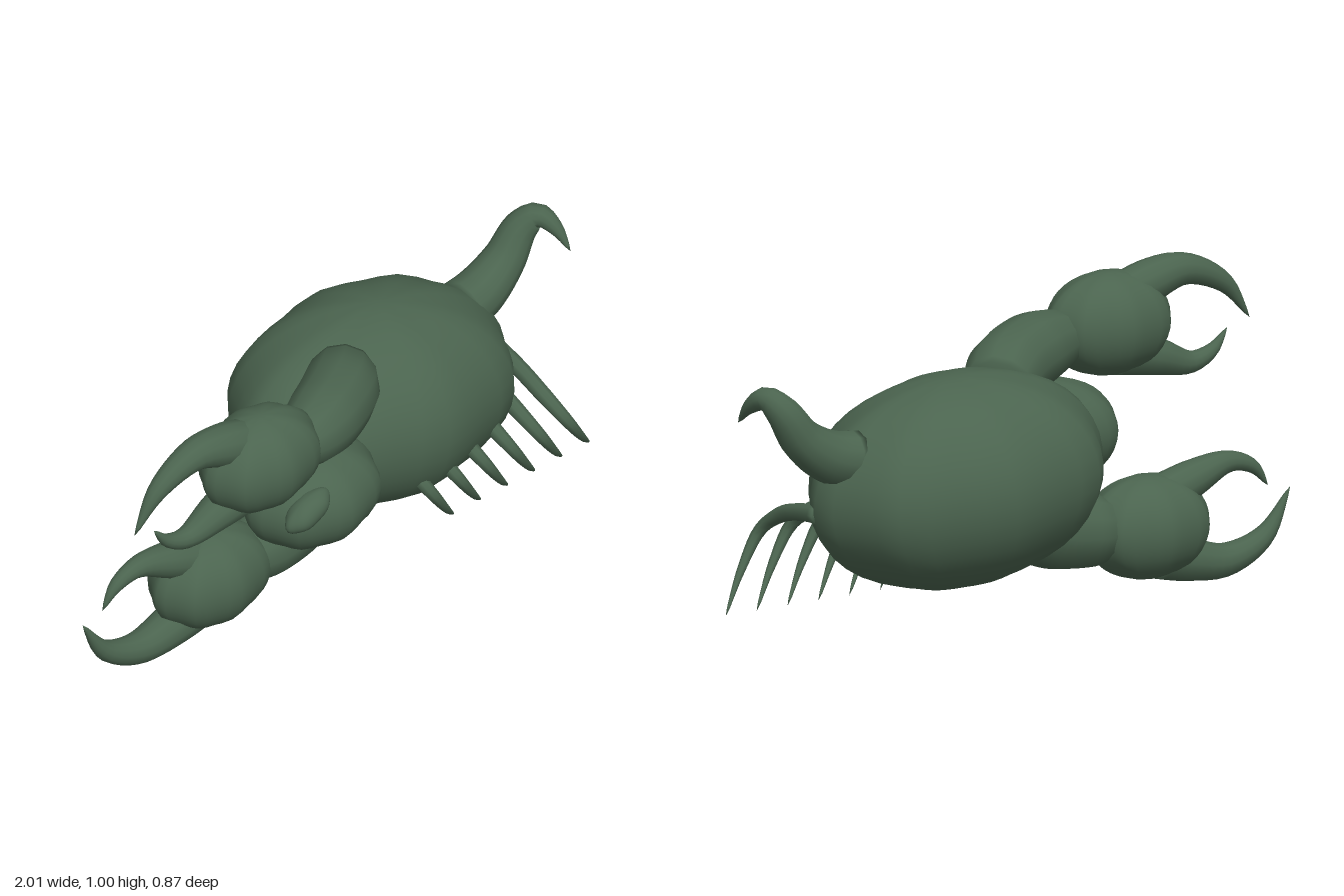
import * as THREE from 'three';
import { mergeVertices } from 'three/addons/utils/BufferGeometryUtils.js';

const shell = new THREE.MeshStandardMaterial({ color: 0x4b644f });
shell.name = 'dark green shell';

function addMesh(parent, name, geometry) {
  const mesh = new THREE.Mesh(geometry, shell);
  mesh.name = name;
  parent.add(mesh);
  return mesh;
}

// Weld the seams and smooth the normals
function smooth(g) {
  g.deleteAttribute('uv');
  g.deleteAttribute('normal');
  const merged = mergeVertices(g, 1e-5);
  merged.computeVertexNormals();
  return merged;
}

// Ellipsoid with shallow ribs running from pole to pole
function ribbedEllipsoid(rx, ry, rz, lobes = 8, depth = 0.03) {
  const g = new THREE.SphereGeometry(1, 32, 20);
  const p = g.attributes.position;
  for (let i = 0; i < p.count; i++) {
    const x = p.getX(i), y = p.getY(i), z = p.getZ(i);
    const k = 1 + depth * Math.cos(lobes * Math.atan2(z, x));
    p.setXYZ(i, x * k * rx, y * ry, z * k * rz);
  }
  return smooth(g);
}

// Curved limb; each point is [x, y, z, radius]
function taperedLimb(points, steps = 20, sides = 12) {
  const curve = new THREE.CatmullRomCurve3(points.map(p => new THREE.Vector3(p[0], p[1], p[2])));
  const radii = new THREE.CatmullRomCurve3(points.map(p => new THREE.Vector3(p[3], 0, 0)));
  const g = new THREE.TubeGeometry(curve, steps, 1, sides);
  const p = g.attributes.position;
  const v = new THREE.Vector3();
  for (let i = 0; i <= steps; i++) {
    const t = curve.getUtoTmapping(i / steps);
    const ring = curve.getPointAt(i / steps);
    const centre = ring.clone();
    // first and last rings collapse to close the ends
    const r = i === 0 || i === steps ? 0 : Math.max(0.002, radii.getPoint(t).x);
    if (i === 0) centre.lerp(curve.getPointAt(1 / steps), 0.8);
    for (let j = 0; j <= sides; j++) {
      const k = i * (sides + 1) + j;
      v.fromBufferAttribute(p, k).sub(ring).multiplyScalar(r).add(centre);
      p.setXYZ(k, v.x, v.y, v.z);
    }
  }
  return smooth(g);
}

// Arm, palm and two hooked fingers
function addClawArm(parent, name, arm, palm, upper, lower) {
  const group = new THREE.Group();
  group.name = name;
  addMesh(group, 'arm', taperedLimb(arm));
  const palmMesh = addMesh(group, 'palm', ribbedEllipsoid(0.215, 0.167, 0.154, 8, 0.035));
  palmMesh.position.set(...palm);
  addMesh(group, 'upperFinger', taperedLimb(upper));
  addMesh(group, 'lowerFinger', taperedLimb(lower));
  parent.add(group);
}

export function createModel() {
  const model = new THREE.Group();
  model.name = 'clawedCreature';

  // Body, head and eye
  const body = addMesh(model, 'body', ribbedEllipsoid(0.505, 0.337, 0.362));
  body.position.set(0.275, 0.495, -0.06);
  body.rotation.z = -0.09;
  const head = addMesh(model, 'head', ribbedEllipsoid(0.238, 0.17, 0.2));
  head.position.set(-0.215, 0.51, 0.205);
  const eye = addMesh(model, 'eye', ribbedEllipsoid(0.092, 0.047, 0.05, 6));
  eye.position.set(-0.345, 0.57, 0.345);
  eye.rotation.z = 0.45;

  // Raised claw
  addClawArm(model, 'raisedClaw',
    [[-0.4, 0.785, 0.28, 0.06], [-0.27, 0.782, 0.26, 0.105], [-0.17, 0.775, 0.22, 0.122],
      [-0.03, 0.755, 0.135, 0.125], [0.08, 0.71, 0.03, 0.11]],
    [-0.485, 0.808, 0.275],
    [[-0.48, 0.87, 0.265, 0.075], [-0.63, 0.925, 0.265, 0.07], [-0.75, 0.945, 0.265, 0.053],
      [-0.9, 0.88, 0.265, 0.032], [-0.997, 0.75, 0.265, 0.003]],
    [[-0.48, 0.72, 0.265, 0.08], [-0.65, 0.675, 0.265, 0.062], [-0.78, 0.637, 0.265, 0.036],
      [-0.86, 0.665, 0.265, 0.022], [-0.915, 0.73, 0.265, 0.003]]);

  // Lowered claw
  addClawArm(model, 'loweredClaw',
    [[-0.4, 0.21, 0.03, 0.07], [-0.26, 0.225, 0.03, 0.12], [-0.14, 0.245, 0.02, 0.125],
      [-0.02, 0.285, 0.005, 0.115], [0.12, 0.34, -0.01, 0.1]],
    [-0.475, 0.207, 0.025],
    [[-0.48, 0.28, 0.02, 0.075], [-0.64, 0.34, 0.02, 0.06], [-0.77, 0.375, 0.02, 0.035],
      [-0.86, 0.345, 0.02, 0.022], [-0.915, 0.275, 0.02, 0.003]],
    [[-0.48, 0.12, 0.02, 0.08], [-0.62, 0.078, 0.02, 0.07], [-0.76, 0.057, 0.02, 0.054],
      [-0.9, 0.113, 0.02, 0.034], [-0.997, 0.26, 0.02, 0.003]]);

  // Hooked tail
  addMesh(model, 'tail', taperedLimb([
    [0.64, 0.615, -0.075, 0.095], [0.75, 0.643, -0.08, 0.085], [0.85, 0.71, -0.085, 0.07],
    [0.92, 0.81, -0.08, 0.055], [0.96, 0.853, -0.045, 0.04], [0.985, 0.82, 0.01, 0.024],
    [0.997, 0.755, 0.065, 0.003]], 28));

  // Row of six identical thin legs
  for (let i = 0; i < 6; i++) {
    const leg = addMesh(model, 'leg' + (i + 1), taperedLimb([
      [0, 0.45, -0.075, 0.034], [0, 0.425, 0.08, 0.028], [0, 0.385, 0.2, 0.026],
      [0.025, 0.32, 0.277, 0.021], [0.1, 0.21, 0.262, 0.014], [0.203, 0.09, 0.187, 0.003]], 24, 8));
    leg.position.x = 0.2 + i * 0.113;
  }
  return model;
}
